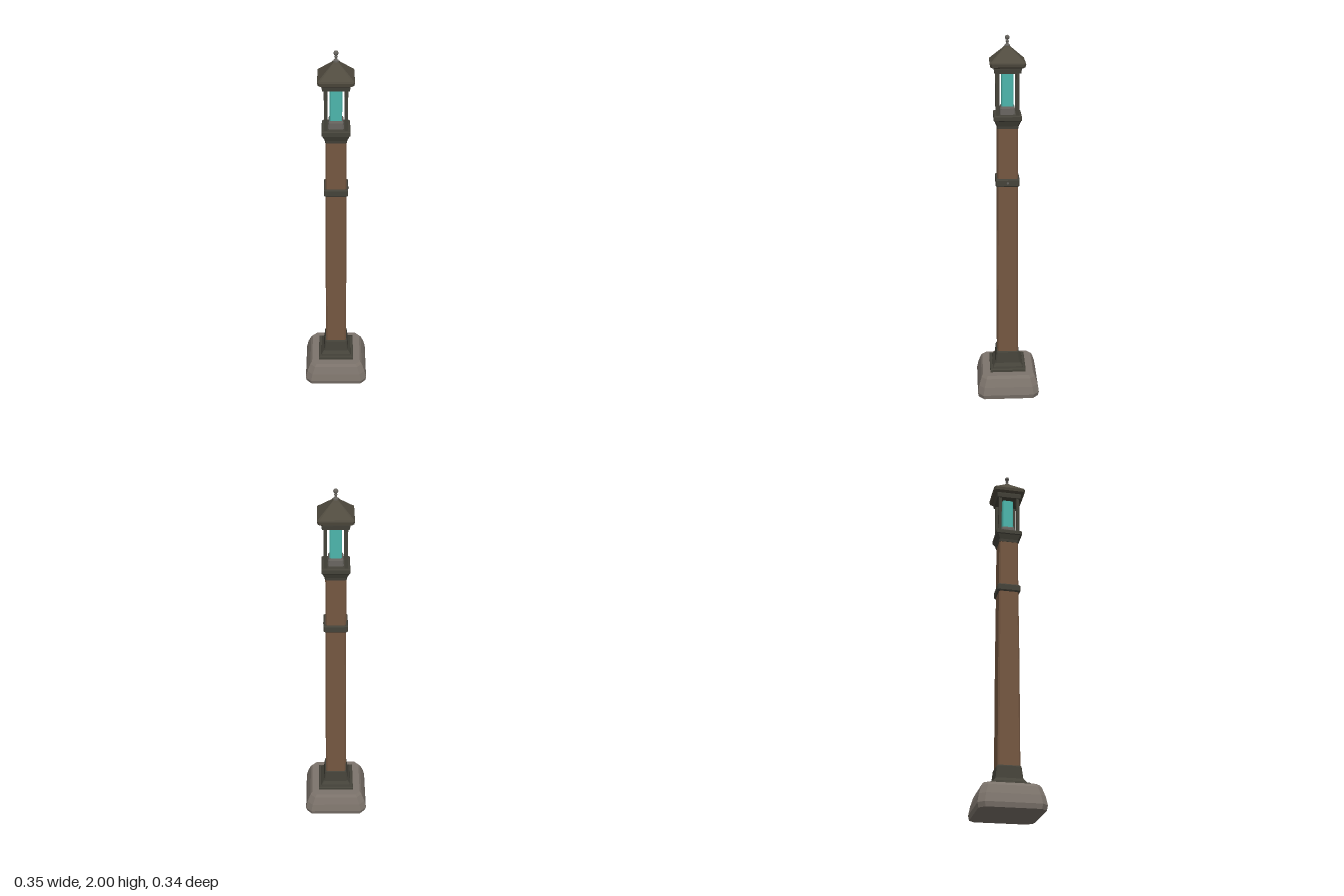
import * as THREE from 'three';

const mat = (name, color, extra = {}) => {
  const m = new THREE.MeshStandardMaterial({ color, flatShading: true, ...extra });
  m.name = name;
  return m;
};

// Chamfered-square loft; each section is [y, halfX, halfZ, chamfer]
function loft(sections) {
  const pos = [];
  const rings = sections.map(([y, a, b, c]) => [
    [a, y, b - c], [a, y, c - b], [a - c, y, -b], [c - a, y, -b],
    [-a, y, c - b], [-a, y, b - c], [c - a, y, b], [a - c, y, b],
  ]);
  const tri = (p, q, r) => pos.push(...p, ...q, ...r);
  for (let i = 0; i < rings.length - 1; i++) {
    for (let k = 0; k < 8; k++) {
      const n = (k + 1) % 8, lo = rings[i], hi = rings[i + 1];
      tri(lo[k], lo[n], hi[n]);
      tri(lo[k], hi[n], hi[k]);
    }
  }
  const bottom = rings[0], top = rings[rings.length - 1];
  for (let k = 1; k < 7; k++) {
    tri(top[0], top[k], top[k + 1]);
    tri(bottom[0], bottom[k + 1], bottom[k]);
  }
  const g = new THREE.BufferGeometry();
  g.setAttribute('position', new THREE.Float32BufferAttribute(pos, 3));
  g.computeVertexNormals();
  return g;
}

// Square loft from [y, half, chamfer]
const square = (rows) => loft(rows.map(([y, h, c]) => [y, h, h, c]));

export function createModel() {
  const stone = mat('stone', 0x7d746c);
  const wood = mat('wood', 0x755741);
  const iron = mat('dark iron', 0x45433a);
  const roofMetal = mat('roof metal', 0x504b3f);
  const grey = mat('grey metal', 0x66635e);
  const glass = mat('teal glass', 0x4db6ac);

  const model = new THREE.Group();
  model.name = 'lampPost';
  const add = (name, geometry, material, x = 0, y = 0, z = 0) => {
    const mesh = new THREE.Mesh(geometry, material);
    mesh.name = name;
    mesh.position.set(x, y, z);
    model.add(mesh);
    return mesh;
  };

  // Stone footing
  add('stoneBase', loft([
    [0, 0.172, 0.167, 0.03], [0.025, 0.177, 0.172, 0.031],
    [0.07, 0.167, 0.164, 0.03], [0.115, 0.15, 0.15, 0.028], [0.13, 0.139, 0.141, 0.025],
  ]), stone);

  // Iron foot with stepped plate and flared sleeve
  add('footPlate', square([[0.128, 0.1, 0.001], [0.143, 0.1, 0.001], [0.147, 0.095, 0.001]]), iron);
  add('footSleeve', square([
    [0.145, 0.085, 0.004], [0.155, 0.083, 0.004], [0.172, 0.07, 0.006],
    [0.235, 0.063, 0.008], [0.24, 0.06, 0.008],
  ]), iron);

  // Tapered wooden shaft
  add('shaft', square([[0.2, 0.058, 0.008], [0.8, 0.057, 0.008], [1.23, 0.054, 0.008], [1.55, 0.053, 0.008]]), wood);

  // Strap with a rivet on its left side
  add('strap', square([[1.218, 0.059, 0.006], [1.224, 0.063, 0.006], [1.254, 0.063, 0.006], [1.26, 0.059, 0.006]]), iron);
  add('rivet', new THREE.CylinderGeometry(0.005, 0.007, 0.006, 8), grey, 0.065, 1.239, 0).rotation.z = -Math.PI / 2;

  // Flared capital carrying the lantern
  add('capital', square([
    [1.53, 0.055, 0.007], [1.545, 0.057, 0.007], [1.572, 0.068, 0.005],
    [1.576, 0.072, 0.004], [1.596, 0.072, 0.004], [1.601, 0.067, 0.004],
  ]), iron);

  // Lantern: holder, glass and corner bars
  add('lampHolder', square([[1.6, 0.04, 0.006], [1.632, 0.038, 0.006], [1.642, 0.033, 0.006]]), grey);
  add('lampGlass', square([[1.641, 0.031, 0.006], [1.822, 0.031, 0.006]]), glass);
  for (const sx of [-1, 1]) {
    for (const sz of [-1, 1]) {
      add('lanternBar', new THREE.BoxGeometry(0.017, 0.23, 0.017), iron, sx * 0.051, 1.71, sz * 0.051);
    }
  }

  // Roof frame, eave and pyramid
  add('roofFrame', square([[1.817, 0.067, 0.003], [1.838, 0.07, 0.003], [1.848, 0.07, 0.003]]), iron);
  add('eave', square([
    [1.845, 0.078, 0.008], [1.852, 0.088, 0.01], [1.868, 0.091, 0.01], [1.875, 0.088, 0.01],
  ]), roofMetal);
  add('roof', square([[1.874, 0.087, 0.009], [1.937, 0.02, 0.002], [1.945, 0.014, 0.002]]), roofMetal);

  // Finial: turned stem and ball
  const stem = [[0.014, 1.943], [0.013, 1.951], [0.007, 1.956], [0.005, 1.964], [0.009, 1.969], [0.005, 1.974], [0.004, 1.98]];
  add('finialStem', new THREE.LatheGeometry(stem.map(([r, y]) => new THREE.Vector2(r, y)), 10), grey);
  add('finialBall', new THREE.SphereGeometry(0.0125, 10, 8), grey, 0, 1.9875, 0);

  return model;
}
